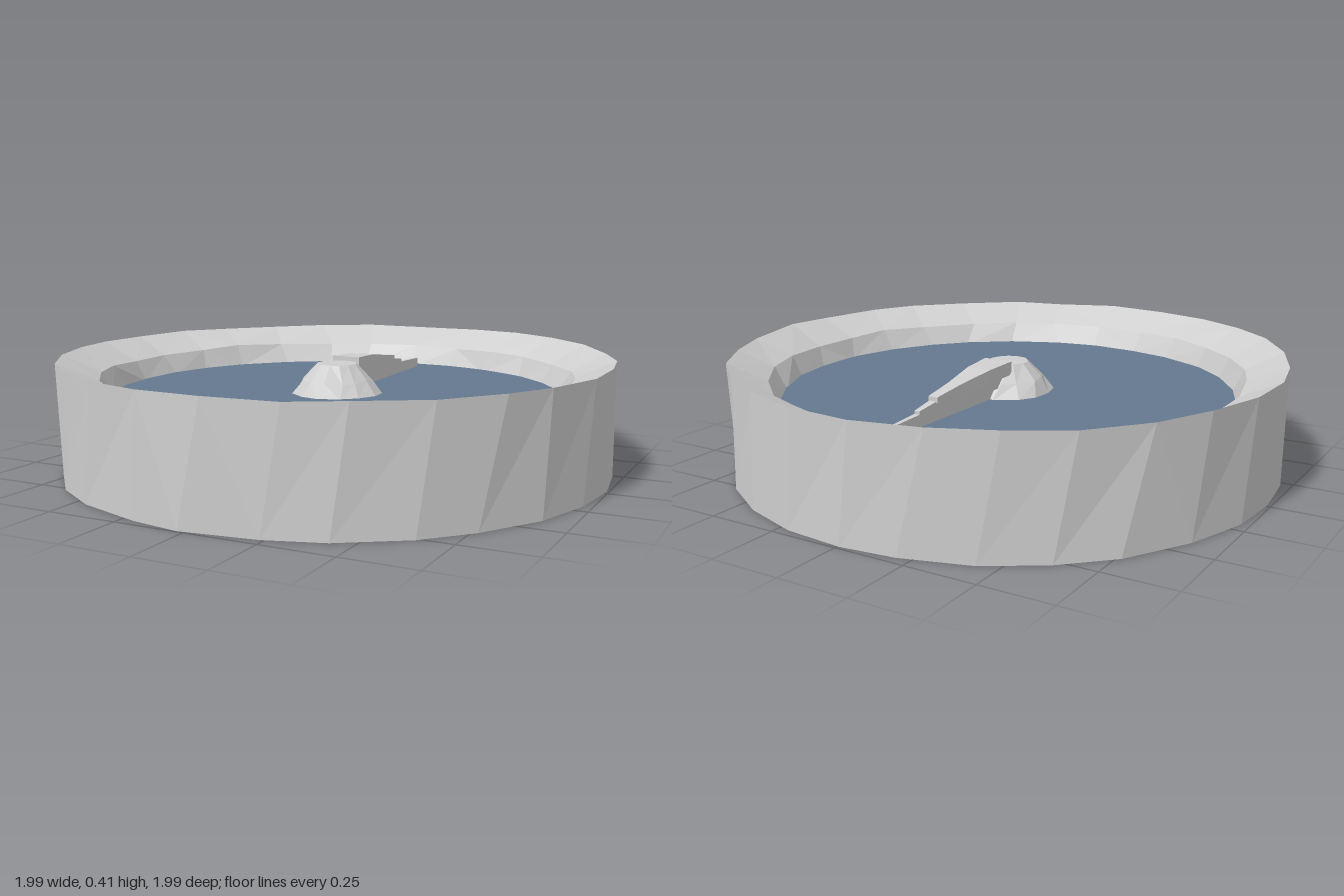
import * as THREE from 'three';

// Small seeded generator for the hand-hewn irregularity
function seeded(seed) {
  return () => {
    seed = (seed * 16807) % 2147483647;
    return seed / 2147483647 - 0.5;
  };
}

// Skin between loops of [x, y, z] points, faceted, with optional flat end caps
function loft(loops, capStart, capEnd) {
  const pos = [];
  const tri = (a, b, c) => pos.push(...a, ...b, ...c);
  const n = loops[0].length;
  for (let s = 0; s < loops.length - 1; s++) {
    for (let i = 0; i < n; i++) {
      const k = (i + 1) % n;
      const a = loops[s][i], b = loops[s][k], c = loops[s + 1][k], d = loops[s + 1][i];
      if (i % 3) { tri(a, b, c); tri(a, c, d); } else { tri(a, b, d); tri(b, c, d); }
    }
  }
  const last = loops[loops.length - 1];
  for (let i = 1; i < n - 1; i++) {
    if (capStart) tri(loops[0][0], loops[0][i + 1], loops[0][i]);
    if (capEnd) tri(last[0], last[i], last[i + 1]);
  }
  const geo = new THREE.BufferGeometry();
  geo.setAttribute('position', new THREE.Float32BufferAttribute(pos, 3));
  geo.computeVertexNormals();
  return geo;
}

// Rough horizontal ring of n points
function ring(n, r, y, turn, jitterR, jitterY, rand) {
  return Array.from({ length: n }, (_, i) => {
    const a = ((i + turn + rand() * 0.25) / n) * Math.PI * 2;
    const rr = r + rand() * jitterR;
    return [Math.sin(a) * rr, y + rand() * jitterY, Math.cos(a) * rr];
  });
}

// Tapered bar from stations [z, halfWidth, bottom, top], tip first
function bar(stations) {
  return loft(stations.map(([z, w, b, t]) => [[-w, b, z], [w, b, z], [w, t, z], [-w, t, z]]), true, true);
}

export function createModel() {
  const model = new THREE.Group();
  const stone = new THREE.MeshStandardMaterial({ color: 0xcfcfcf });
  stone.name = 'pale stone';
  const water = new THREE.MeshStandardMaterial({ color: 0x64788f });
  water.name = 'slate blue';
  const add = (name, geometry, material) => {
    const mesh = new THREE.Mesh(geometry, material);
    mesh.name = name;
    model.add(mesh);
    return mesh;
  };
  const rand = seeded(7321);

  // Round basin: outer wall, rim sloping inward, short inner drop
  add('basin', loft([
    ring(28, 0.99, 0, 0, 0.01, 0, rand),
    ring(28, 0.995, 0.405, 0.3, 0.01, 0.01, rand),
    ring(28, 0.855, 0.34, 0.3, 0.015, 0.012, rand),
    ring(28, 0.815, 0.255, 0.3, 0.01, 0, rand),
  ], true, false), stone);

  // Flat disc inside the basin
  const disc = add('disc', new THREE.CircleGeometry(0.825, 28), water);
  disc.rotation.x = -Math.PI / 2;
  disc.position.y = 0.265;

  // Central cone with a flat top
  add('hub', loft([
    ring(13, 0.165, 0.26, 0, 0.012, 0, rand),
    ring(13, 0.125, 0.315, 0.2, 0.012, 0.01, rand),
    ring(13, 0.072, 0.372, 0.2, 0.004, 0, rand),
  ], false, true), stone);

  // Pointer: thin fin on the disc carrying stepped, widening slabs
  const pointer = new THREE.Group();
  pointer.name = 'pointer';
  model.add(pointer);
  const parts = {
    pointerFin: [[-0.75, 0.006, 0.262, 0.3], [-0.5, 0.012, 0.262, 0.31], [-0.05, 0.025, 0.262, 0.33]],
    pointerStep: [[-0.57, 0.01, 0.295, 0.318], [-0.45, 0.016, 0.295, 0.335], [-0.06, 0.04, 0.3, 0.36]],
    pointerSlab: [[-0.48, 0.018, 0.325, 0.345], [-0.35, 0.026, 0.325, 0.362],
      [-0.2, 0.046, 0.335, 0.382], [-0.07, 0.055, 0.34, 0.388]],
  };
  for (const [name, stations] of Object.entries(parts)) {
    const mesh = new THREE.Mesh(bar(stations), stone);
    mesh.name = name;
    pointer.add(mesh);
  }
  return model;
}
